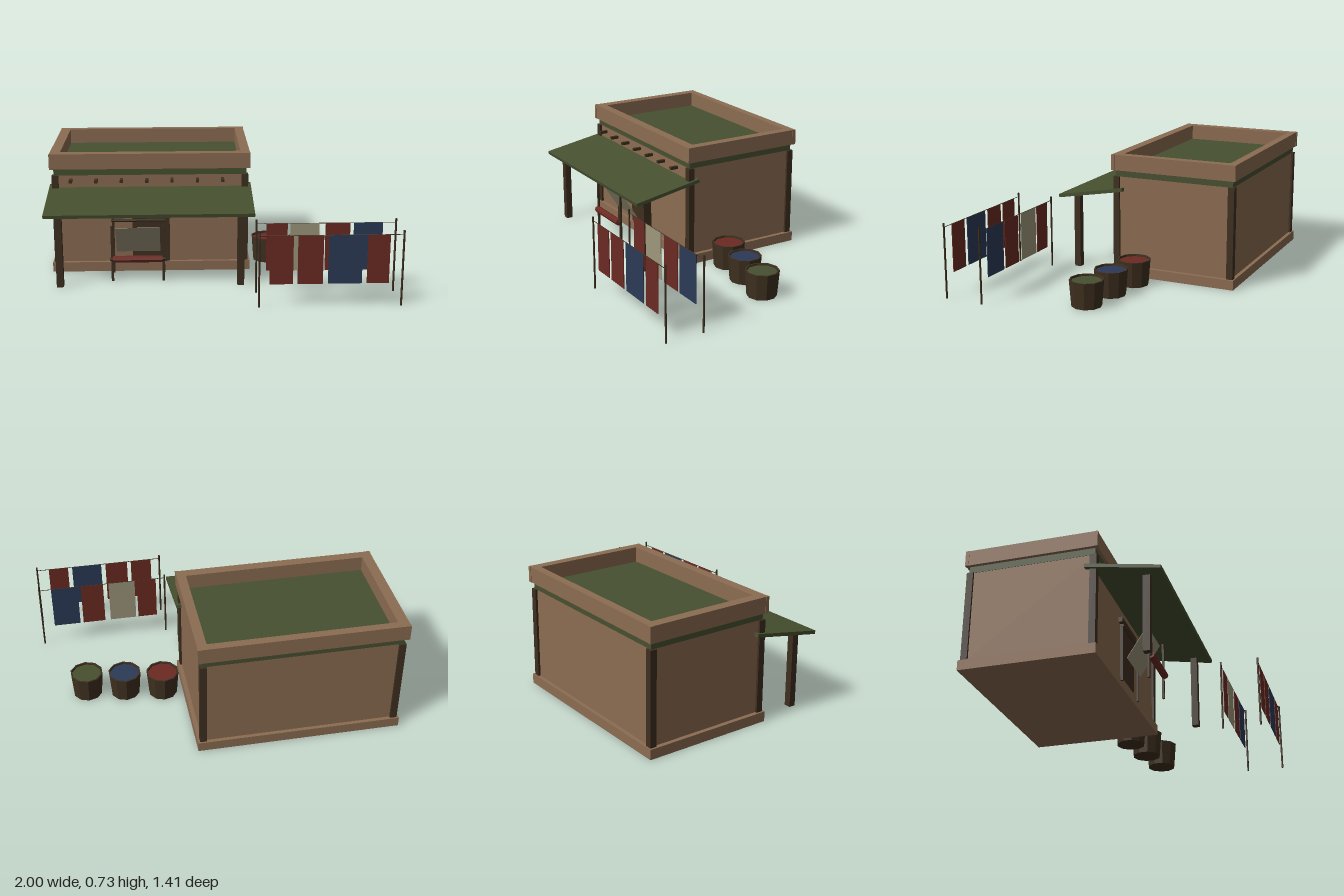
import * as THREE from 'three';

const mat = (name, color) => Object.assign(new THREE.MeshStandardMaterial({ color }), { name });

export function createModel() {
  const M = {
    clay: mat('clay', 0x8c6c52),
    wood: mat('dark wood', 0x3f3020),
    green: mat('moss green', 0x475030),
    red: mat('red cloth', 0x6c2a22),
    blue: mat('blue cloth', 0x2c3a57),
    linen: mat('linen', 0x9f987c),
  };
  for (const k of ['green', 'red', 'blue', 'linen']) M[k].side = THREE.DoubleSide;
  M.wood.flatShading = true;
  M.red.flatShading = true;

  const root = new THREE.Group();
  root.name = 'dyerWorkshop';
  const group = (name) => {
    const g = new THREE.Group();
    g.name = name;
    root.add(g);
    return g;
  };
  // Box given by its low and high limits on each axis
  const box = (parent, name, m, [x0, x1], [y0, y1], [z0, z1]) => {
    const mesh = new THREE.Mesh(new THREE.BoxGeometry(x1 - x0, y1 - y0, z1 - z0), m);
    mesh.position.set((x0 + x1) / 2, (y0 + y1) / 2, (z0 + z1) / 2);
    mesh.name = name;
    parent.add(mesh);
    return mesh;
  };
  // Round bar between two points
  const bar = (parent, name, m, a, b, r, sides = 8) => {
    const p = new THREE.Vector3(...a), q = new THREE.Vector3(...b);
    const d = q.clone().sub(p);
    const mesh = new THREE.Mesh(new THREE.CylinderGeometry(r, r, d.length(), sides), m);
    mesh.position.copy(p).add(q).multiplyScalar(0.5);
    mesh.quaternion.setFromUnitVectors(new THREE.Vector3(0, 1, 0), d.normalize());
    mesh.name = name;
    parent.add(mesh);
  };

  // House body
  const house = group('house');
  box(house, 'plinth', M.clay, [-0.995, 0.195], [0, 0.058], [-0.7, 0.07]);
  box(house, 'walls', M.clay, [-0.97, 0.17], [0.058, 0.595], [-0.678, 0.048]);
  box(house, 'roof', M.green, [-0.972, 0.172], [0.595, 0.637], [-0.68, 0.05]);
  for (const x of [-0.963, 0.163])
    for (const z of [-0.672, 0.042])
      box(house, 'cornerPost', M.wood, [x - 0.02, x + 0.02], [0.058, 0.595], [z - 0.019, z + 0.019]);

  // Parapet: four walls with slightly proud corner blocks
  const Y = [0.635, 0.727];
  for (const z of [[-0.698, -0.65], [0.01, 0.068]]) box(house, 'parapetLong', M.clay, [-0.973, 0.173], Y, z);
  for (const x of [[-0.993, -0.932], [0.138, 0.193]]) box(house, 'parapetShort', M.clay, x, Y, [-0.68, 0.05]);
  for (const x of [[-0.995, -0.972], [0.172, 0.195]])
    for (const z of [[-0.7, -0.679], [0.049, 0.07]]) box(house, 'parapetCorner', M.clay, x, Y, z);

  // Beam ends
  for (let i = 0; i < 7; i++) {
    const x = -0.87 + i * 0.15;
    box(house, 'beamEnd', M.wood, [x - 0.009, x + 0.009], [0.558, 0.575], [0.03, 0.098]);
  }

  // Doorway
  box(house, 'door', M.wood, [-0.512, -0.288], [0.058, 0.42], [0.04, 0.062]);
  box(house, 'lintel', M.wood, [-0.54, -0.262], [0.405, 0.435], [0.04, 0.069]);

  // Sloping awning on two posts
  const awning = group('awning');
  const sheet = box(awning, 'awningSheet', M.green, [-1, 0.2], [0.473, 0.493], [-0.005, 0.421]);
  sheet.rotation.x = Math.atan2(0.074, 0.415);
  for (const x of [-0.925, 0.125])
    box(awning, 'awningPost', M.wood, [x - 0.02, x + 0.02], [0, 0.44], [0.305, 0.344]);

  // Loom
  const loom = group('loom');
  for (const x of [-0.625, -0.325])
    for (const z of [0.247, 0.097])
      box(loom, 'loomPost', M.wood, [x - 0.007, x + 0.007], [0, 0.338], [z - 0.006, z + 0.006]);
  bar(loom, 'topBar', M.wood, [-0.635, 0.328, 0.1], [-0.315, 0.328, 0.1], 0.009);
  bar(loom, 'clothRoll', M.red, [-0.62, 0.138, 0.257], [-0.33, 0.138, 0.257], 0.021);
  bar(loom, 'rollAxle', M.wood, [-0.637, 0.138, 0.257], [-0.313, 0.138, 0.257], 0.01);
  const web = box(loom, 'wovenCloth', M.linen, [-0.605, -0.345], [0.125, 0.338], [0.174, 0.177]);
  web.rotation.x = Math.atan2(0.115, 0.18);

  // Drying lines: [start, end, colour] for each cloth
  const lines = [
    [0.7, [[0.26, 0.39, 'red'], [0.415, 0.555, 'red'], [0.583, 0.77, 'blue'], [0.797, 0.92, 'red']]],
    [0.472, [[0.26, 0.38, 'red'], [0.395, 0.56, 'linen'], [0.595, 0.735, 'red'], [0.755, 0.92, 'blue']]],
  ];
  for (const [z, cloths] of lines) {
    const line = group('dryingLine');
    for (const x of [0.204, 0.994]) bar(line, 'linePost', M.wood, [x, 0, z], [x, 0.435, z], 0.006, 6);
    bar(line, 'rope', M.wood, [0.204, 0.412, z], [0.994, 0.412, z], 0.002, 5);
    for (const [a, b, c] of cloths) box(line, 'hangingCloth', M[c], [a, b], [0.133, 0.412], [z - 0.002, z + 0.002]);
  }

  // Dye vats: ten-sided, open, each filled with a colour
  const profile = [[0, 0], [0.086, 0], [0.098, 0.152], [0.089, 0.152], [0.087, 0.13]]
    .map(([x, y]) => new THREE.Vector2(x, y));
  for (const [x, z, c] of [[0.315, -0.135, 'red'], [0.54, -0.097, 'blue'], [0.765, -0.06, 'green']]) {
    const vat = group('dyeVat');
    vat.position.set(x, 0, z);
    const tub = new THREE.Mesh(new THREE.LatheGeometry(profile, 10), M.wood);
    tub.name = 'tub';
    const dye = new THREE.Mesh(new THREE.CylinderGeometry(0.088, 0.088, 0.006, 10), M[c]);
    dye.position.y = 0.138;
    dye.name = 'dye';
    vat.add(tub, dye);
  }
  return root;
}
